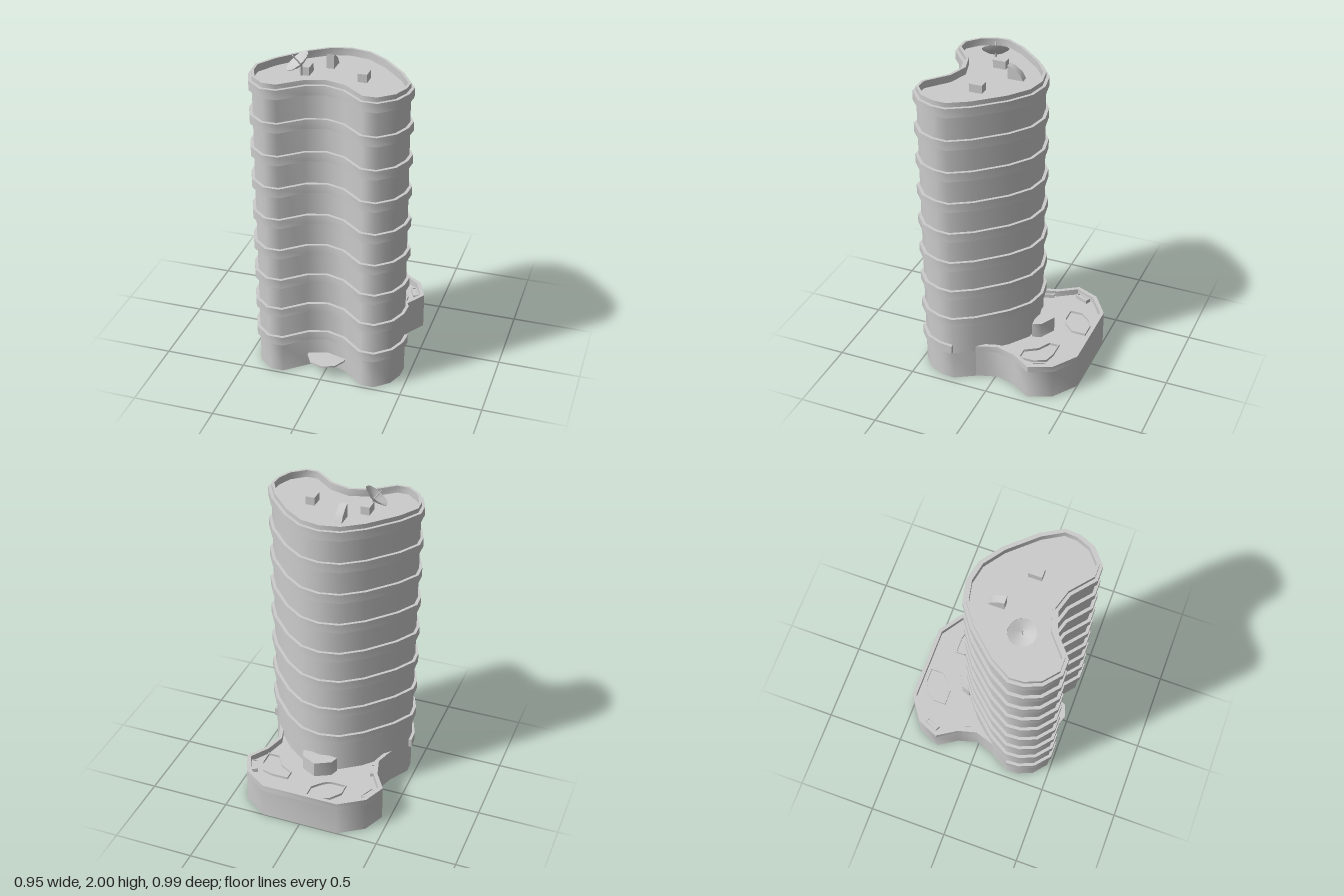
import * as THREE from 'three';
import { toCreasedNormals } from 'three/addons/utils/BufferGeometryUtils.js';

const mat = new THREE.MeshStandardMaterial({ color: 0xcccccc, side: THREE.DoubleSide });

// Plans are lists of [x, z], running from the back round the left side to the front.
const mirror = (half) => half.concat(half.slice(1, -1).reverse().map(([x, z]) => [-x, z]));

// Moves a plan outwards by d, keeping its edges parallel.
function offset(pts, d, closed = true) {
  const n = pts.length;
  const normal = (a, b) => new THREE.Vector2(b[1] - a[1], a[0] - b[0]).normalize();
  return pts.map((p, i) => {
    const prev = closed || i > 0 ? normal(pts[(i + n - 1) % n], p) : null;
    const next = closed || i < n - 1 ? normal(p, pts[(i + 1) % n]) : null;
    const a = prev || next, b = next || prev;
    const m = a.clone().add(b).normalize();
    const k = d / Math.max(m.dot(a), 0.5);
    return [p[0] + m.x * k, p[1] + m.y * k];
  });
}

const toShape = (pts) => new THREE.Shape(pts.map(([x, z]) => new THREE.Vector2(x, -z)));

// Solid slab of a plan from y0 to y1, with an optional hole.
function slab(pts, y0, y1, hole) {
  const shape = toShape(pts);
  if (hole) shape.holes.push(toShape(hole));
  const g = new THREE.ExtrudeGeometry(shape, { depth: y1 - y0, bevelEnabled: false });
  g.rotateX(-Math.PI / 2).translate(0, y0, 0);
  return toCreasedNormals(g, 0.9);
}

// Flat sheet of a plan.
const sheet = (pts, y) => new THREE.ShapeGeometry(toShape(pts)).rotateX(-Math.PI / 2).translate(0, y, 0);

// Band along an open path between two offsets.
function openBand(path, dOut, dIn, y0, y1) {
  return slab([...offset(path, dOut, false), ...offset(path, dIn, false).reverse()], y0, y1);
}

// Thin smooth wall standing on a path.
function wall(path, y0, y1, closed) {
  const pos = [], idx = [], n = path.length;
  path.forEach(([x, z]) => pos.push(x, y0, z, x, y1, z));
  for (let i = 0; i < (closed ? n : n - 1); i++) {
    const a = 2 * i, b = 2 * ((i + 1) % n);
    idx.push(a, b + 1, b, a, a + 1, b + 1);
  }
  const g = new THREE.BufferGeometry();
  g.setAttribute('position', new THREE.Float32BufferAttribute(pos, 3));
  g.setIndex(idx);
  g.computeVertexNormals();
  return g;
}

export function createModel() {
  const model = new THREE.Group();
  const add = (name, geometry, parent = model) => {
    const m = new THREE.Mesh(geometry, mat);
    m.name = name;
    parent.add(m);
    return m;
  };

  // Bean-shaped tower plan
  const tower = mirror([[0, -0.157], [0.118, -0.133], [0.24, -0.045], [0.385, 0.115], [0.455, 0.235],
    [0.45, 0.315], [0.413, 0.405], [0.328, 0.477], [0.247, 0.477], [0.118, 0.37], [0, 0.335]]);
  const towerBack = [...tower.slice(17), ...tower.slice(0, 4)];
  const deckY = 0.19, podiumTop = 0.23, roofY = 1.865, top = 1.91;

  // Tower walls: the ground floor is open to the podium behind
  add('towerWall', wall(tower, deckY, roofY, true));
  add('groundFloorWall', wall(tower.slice(3, 18), 0, deckY, false));
  add('roof', sheet(tower, roofY));
  add('roofParapet', slab(tower, roofY, top, offset(tower, -0.016)));

  // Floor ledges; the lowest only wraps the front
  for (let i = 0; i < 9; i++) {
    const y = 0.198 + i * 0.2035;
    add('ledge', i === 0
      ? openBand(tower.slice(4, 17), 0.019, -0.002, y, y + 0.056)
      : slab(offset(tower, 0.019), y, y + 0.056, offset(tower, -0.002)));
  }

  // Podium
  const side = [[0.242, -0.498], [0.394, -0.394], [0.452, -0.255], [0.375, -0.135], [0.342, -0.015], [0.368, 0.07], [0.385, 0.115]];
  const podium = [...side.map(([x, z]) => [-x, z]).reverse(), ...side];
  add('podiumWall', wall(podium, 0, deckY, false));
  add('podiumDeck', sheet([...podium, ...towerBack.slice(1, -1).reverse()], deckY));
  add('podiumParapet', openBand(podium, 0, -0.024, deckY, podiumTop));

  // Rear entrance block
  add('rearBlock', slab([[-0.113, -0.15], [-0.095, -0.204], [0, -0.254], [0.095, -0.204], [0.113, -0.15], [0, -0.14]], deckY, 0.29));

  // Raised rims of the two garden beds
  const beds = [
    [[-0.224, -0.278], [-0.224, -0.362], [-0.174, -0.428], [-0.12, -0.454], [-0.02, -0.454], [-0.02, -0.365], [-0.08, -0.3], [-0.124, -0.278]],
    [[0.142, -0.278], [0.142, -0.343], [0.247, -0.343], [0.316, -0.325], [0.35, -0.254], [0.35, -0.154], [0.27, -0.154], [0.22, -0.233]],
  ];
  beds.forEach((b) => add('gardenBedRim', slab(b, deckY, deckY + 0.016, offset(b, -0.007))));

  // Planters along the podium edge
  const rect = (w, l) => [[-w, -l], [w, -l], [w, l], [-w, l]];
  [[-0.379, -0.307, -0.43], [0.379, -0.305, 0.43], [-0.33, -0.08, 0.29]].forEach(([x, z, turn]) => {
    const planter = new THREE.Group();
    planter.name = 'planter';
    planter.position.set(x, deckY, z);
    planter.rotation.y = turn;
    add('planterFrame', slab(rect(0.018, 0.047), 0, 0.025, rect(0.01, 0.038)), planter);
    add('planterFill', slab(rect(0.01, 0.038), 0, 0.018), planter);
    model.add(planter);
  });

  // Front canopy
  add('canopy', slab(mirror([[0, 0.335], [0.118, 0.37], [0.118, 0.385], [0.077, 0.458], [0, 0.483]]), 0.077, 0.088));

  // Roof units
  [0.168, -0.17].forEach((x) =>
    add('roofUnit', new THREE.BoxGeometry(0.055, 0.05, 0.08).translate(x, roofY + 0.025, 0.171)));

  // Sloped roof hatch
  const profile = new THREE.Shape([[-0.075, 0], [0.022, 0], [0, 0.04], [-0.045, 0.073], [-0.075, 0.083]]
    .map(([x, y]) => new THREE.Vector2(x, y)));
  const hatch = new THREE.ExtrudeGeometry(profile, { depth: 0.045, bevelEnabled: false });
  hatch.rotateY(Math.PI / 2).translate(-0.084, roofY, 0);
  add('roofHatch', toCreasedNormals(hatch, 0.7));

  // Satellite dish with feed and stand
  const dish = new THREE.Group();
  dish.name = 'dish';
  dish.position.set(-0.207, 1.951, 0.22);
  dish.quaternion.setFromUnitVectors(new THREE.Vector3(0, 1, 0), new THREE.Vector3(-0.58, 0.78, 0.24).normalize());
  const bowl = [[0, -0.025], [0.045, -0.013], [0.08, 0.004], [0.08, 0], [0.045, -0.019], [0, -0.031]];
  add('dishBowl', new THREE.LatheGeometry(bowl.map(([x, y]) => new THREE.Vector2(x, y)), 14), dish);
  add('dishFeed', new THREE.CylinderGeometry(0.004, 0.004, 0.07, 6).translate(0, 0.01, 0), dish);
  model.add(dish);
  add('dishStand', new THREE.CylinderGeometry(0.008, 0.008, 0.07, 8).translate(-0.19, roofY + 0.035, 0.213));

  return model;
}
